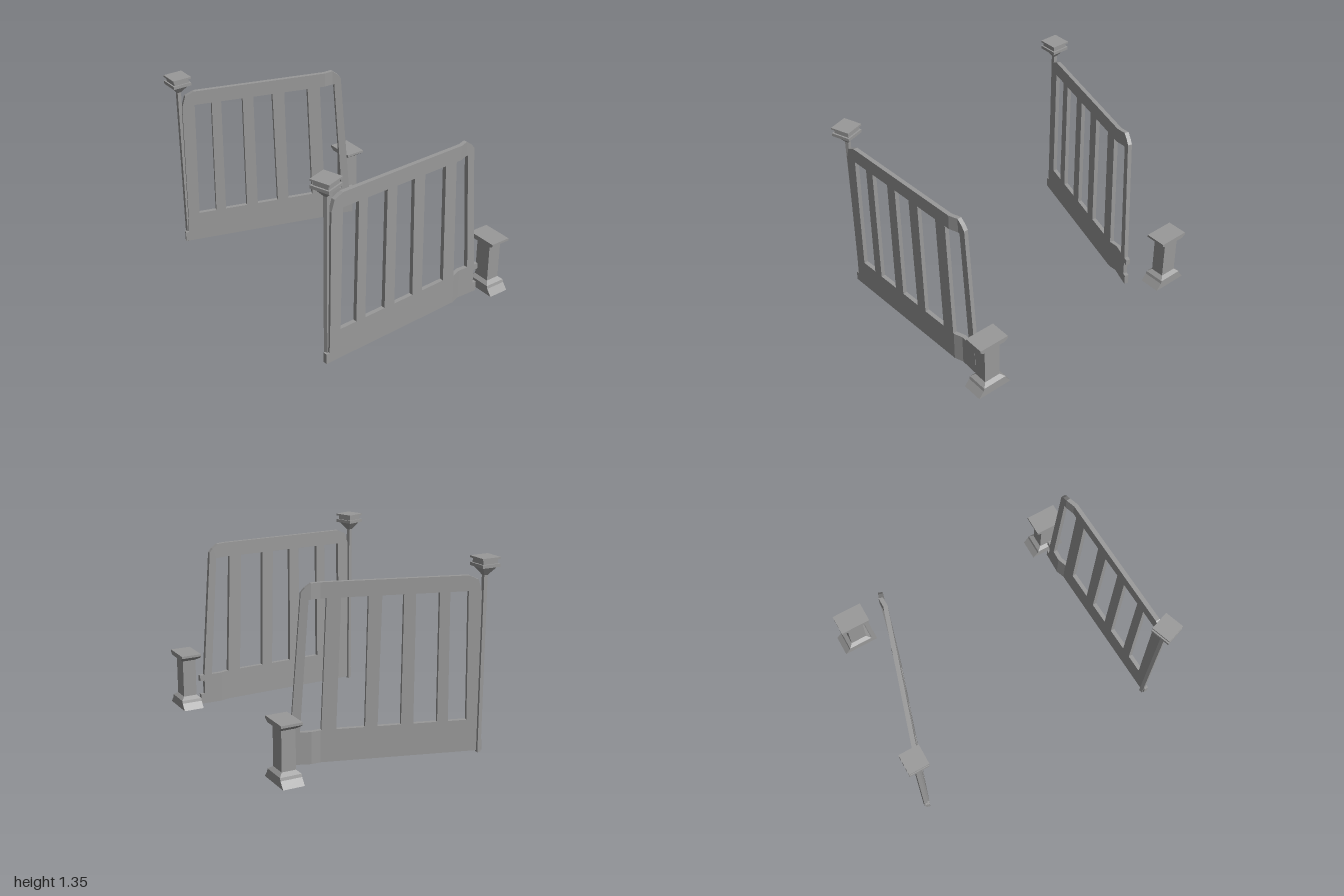
import * as THREE from 'three';

const stone = new THREE.MeshStandardMaterial({ color: 0x999999, flatShading: true });
stone.name = 'grey';

// Closed solid through stacked rectangles, each [y, half width x, half depth z]
function rectLoft(sections) {
  const pos = [];
  const index = [];
  for (const [y, hx, hz] of sections) pos.push(-hx, y, hz, hx, y, hz, hx, y, -hz, -hx, y, -hz);
  for (let s = 0; s < sections.length - 1; s++) {
    for (let k = 0; k < 4; k++) {
      const a = s * 4 + k, b = s * 4 + (k + 1) % 4;
      index.push(a, b, b + 4, a, b + 4, a + 4);
    }
  }
  const t = (sections.length - 1) * 4;
  index.push(0, 2, 1, 0, 3, 2, t, t + 1, t + 2, t, t + 2, t + 3);
  const g = new THREE.BufferGeometry();
  g.setAttribute('position', new THREE.Float32BufferAttribute(pos, 3));
  g.setIndex(index);
  const flat = g.toNonIndexed();
  flat.computeVertexNormals();
  return flat;
}

function mesh(name, geometry, parent) {
  const m = new THREE.Mesh(geometry, stone);
  m.name = name;
  parent.add(m);
  return m;
}

// Sideways kink of the panel towards its free end
const BEND = [[0.385, 0], [0.45, -0.02], [0.62, -0.008]];
function bendOffset(x) {
  if (x <= BEND[0][0]) return 0;
  const i = x <= BEND[1][0] + 1e-5 ? 0 : 1;
  const [x0, z0] = BEND[i], [x1, z1] = BEND[i + 1];
  return z0 + (z1 - z0) * (x - x0) / (x1 - x0);
}

const THICK = 0.03;
const POST_X = -0.705;
const LOW = 0.235, HIGH = 1.125; // opening heights

const points = list => list.map(([x, y]) => new THREE.Vector2(x, y));

// Flat slab cut to an outline, then shifted along the kink
function slab(outline, holes = []) {
  const shape = new THREE.Shape(points(outline));
  for (const h of holes) shape.holes.push(new THREE.Path(points(h)));
  const g = new THREE.ExtrudeGeometry(shape, { depth: THICK, bevelEnabled: false });
  const p = g.attributes.position;
  for (let i = 0; i < p.count; i++) {
    p.setZ(i, p.getZ(i) - THICK / 2 + 0.014 + bendOffset(p.getX(i)));
  }
  g.translate(-POST_X, 0, 0);
  g.computeVertexNormals();
  return g;
}

function makeGate(name) {
  const gate = new THREE.Group();
  gate.name = name;

  // Openings: bottom left, bottom right, top right, top left x
  const openings = [
    [-0.615, -0.485, -0.475, -0.6],
    [-0.41, -0.245, -0.245, -0.405],
    [-0.16, 0, -0.02, -0.165],
    [0.085, 0.28, 0.25, 0.07],
  ].map(([a, b, c, d]) => [[a, LOW], [b, LOW], [c, HIGH], [d, HIGH]]);

  // Straight part with rails and bars
  mesh('panel', slab([
    [-0.73, 0.01], [0.385, 0.01], [0.385, LOW], [0.38, LOW], [0.345, HIGH], [0.385, HIGH],
    [0.385, 1.23], [-0.6, 1.23], [-0.665, 1.2], [-0.69, 1.12], [-0.7, 0.24],
    [-0.705, 0.085], [-0.73, 0.085],
  ], openings), gate);

  // Kinked rail pieces
  for (const [part, y0, y1] of [['lowerRailBend', 0.01, LOW], ['upperRailBend', HIGH, 1.23]]) {
    mesh(part, slab([[0.385, y0], [0.45, y0], [0.45, y1], [0.385, y1]]), gate);
  }

  // Leaning end stile with two latch tabs
  mesh('endStile', slab([
    [0.45, 0.01], [0.615, 0.01], [0.615, 0.085], [0.585, 0.085], [0.585, 0.19], [0.62, 0.19],
    [0.62, LOW], [0.585, LOW], [0.515, 1.17], [0.49, 1.2], [0.45, 1.23],
    [0.45, HIGH], [0.465, HIGH], [0.525, LOW], [0.45, LOW],
  ]), gate);

  // Slim post with flared, stacked cap
  const post = mesh('post', rectLoft([
    [0, 0.0135, 0.0135], [1.23, 0.0135, 0.0135], [1.288, 0.056, 0.056], [1.288, 0.07, 0.07],
    [1.31, 0.07, 0.07], [1.31, 0.058, 0.058], [1.34, 0.058, 0.058], [1.34, 0.071, 0.071],
    [1.353, 0.071, 0.071],
  ]), gate);
  post.rotation.y = 0.293;
  return gate;
}

export function createModel() {
  const model = new THREE.Group();
  model.name = 'gatesAndPedestals';

  const front = makeGate('frontGate');
  front.position.set(POST_X, 0, 0.904);
  front.rotation.y = 0.042;

  const back = makeGate('backGate');
  back.position.set(-0.677, 0, -0.932);
  back.rotation.y = -0.293;
  model.add(front, back);

  // Low pedestals with splayed feet
  const pedestal = rectLoft([
    [0.013, 0.076, 0.133], [0.06, 0.076, 0.096], [0.08, 0.076, 0.09], [0.102, 0.05, 0.061],
    [0.378, 0.05, 0.061], [0.395, 0.076, 0.085], [0.413, 0.076, 0.112], [0.43, 0.076, 0.112],
  ]);
  mesh('frontPedestal', pedestal, model).position.set(0.716, 0, 0.866);
  mesh('backPedestal', pedestal, model).position.set(0.716, 0, -0.787);

  return model;
}
